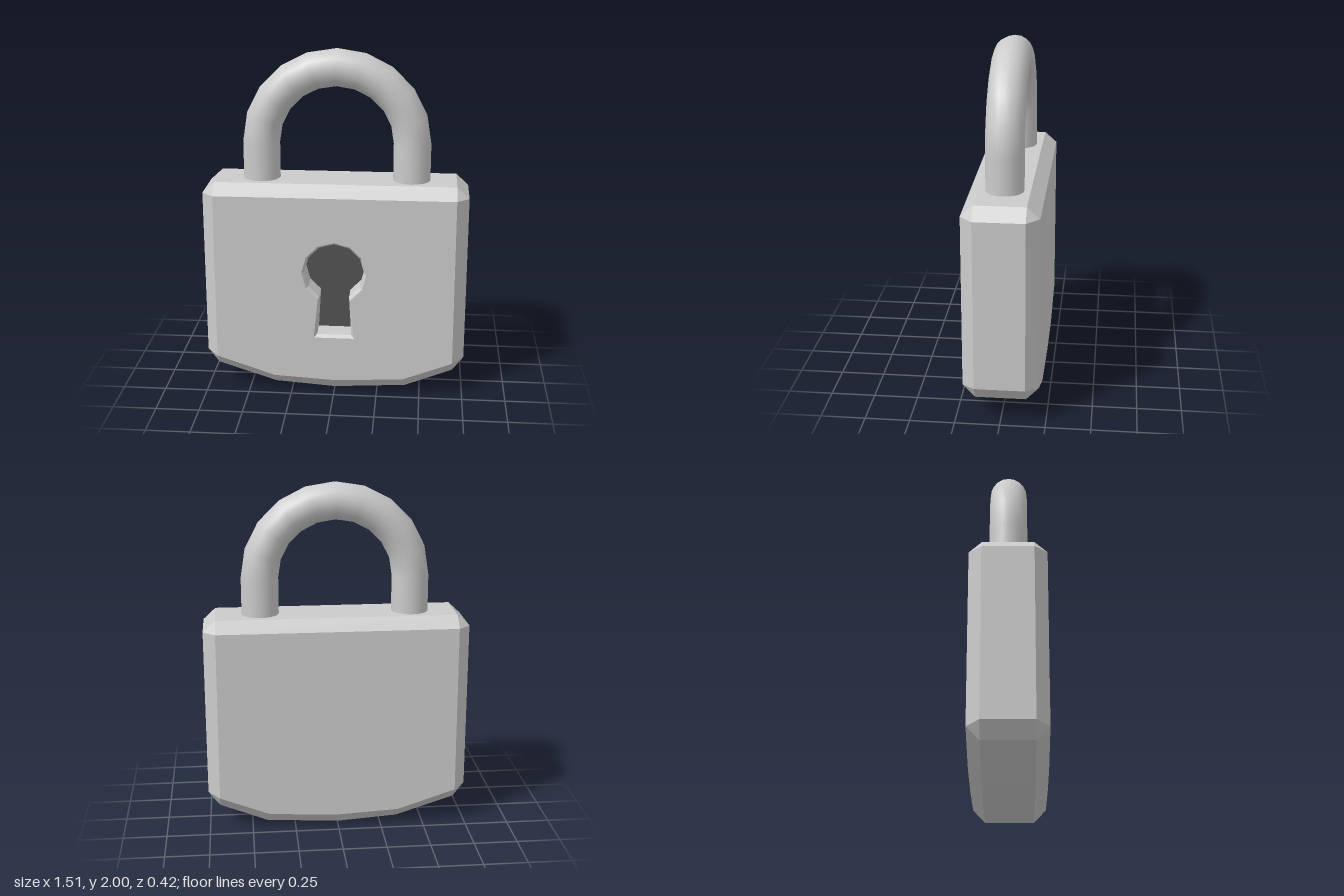
import * as THREE from 'three';
import { mergeGeometries } from 'three/addons/utils/BufferGeometryUtils.js';

const steel = new THREE.MeshStandardMaterial({ color: 0xcccccc });
const dark = new THREE.MeshStandardMaterial({ color: 0x525252 });

// Flat-shaded band between two loops of [x, y]; counter-clockwise loops with z0 < z1 face outward
function band(loopA, z0, loopB, z1) {
  const pos = [];
  loopA.forEach((a, i) => {
    const j = (i + 1) % loopA.length;
    const quad = [[...a, z0], [...loopA[j], z0], [...loopB[j], z1], [...loopB[i], z1]];
    for (const k of [0, 1, 2, 0, 2, 3]) pos.push(...quad[k]);
  });
  const geo = new THREE.BufferGeometry();
  geo.setAttribute('position', new THREE.Float32BufferAttribute(pos, 3));
  geo.computeVertexNormals();
  return geo;
}

// Flat cap facing +z, or -z when back is true
function cap(loop, z, hole, back = false) {
  const points = loop.map(([x, y]) => new THREE.Vector2(x, y))
    .filter((p, i, all) => i === 0 || !p.equals(all[i - 1]));
  const shape = new THREE.Shape(points);
  if (hole) shape.holes.push(new THREE.Path(hole.map(([x, y]) => new THREE.Vector2(x, y))));
  const geo = new THREE.ShapeGeometry(shape).toNonIndexed();
  geo.deleteAttribute('uv');
  if (back) geo.scale(-1, 1, 1).rotateY(Math.PI);
  // A mirrored and turned cap keeps its outline but needs its winding reversed
  if (back) {
    const p = geo.attributes.position;
    for (let i = 0; i < p.count; i += 3) {
      const b = [p.getX(i + 1), p.getY(i + 1)];
      p.setXY(i + 1, p.getX(i + 2), p.getY(i + 2));
      p.setXY(i + 2, ...b);
    }
  }
  geo.computeVertexNormals();
  return geo.translate(0, 0, z);
}

// Keyhole outline: 300 degree arc of a twelve-sided circle above a flared slot
function keyhole(radius, halfFoot, footY) {
  const loop = [[-halfFoot, footY], [halfFoot, footY]];
  for (let i = 0; i <= 10; i++) {
    const a = THREE.MathUtils.degToRad(-60 + i * 30);
    loop.push([radius * Math.cos(a), 0.745 + radius * Math.sin(a)]);
  }
  return loop;
}

function mesh(name, geo, material) {
  const m = new THREE.Mesh(geo, material);
  m.name = name;
  return m;
}

export function createModel() {
  const group = new THREE.Group();
  group.name = 'padlock';

  // Body: widest outline and the smaller face it chamfers to
  const rim = [[0, 0], [0.415, 0.025], [0.69, 0.135], [0.755, 0.22], [0.755, 1.19], [0.685, 1.255],
    [-0.685, 1.255], [-0.755, 1.19], [-0.755, 0.22], [-0.69, 0.135], [-0.35, 0.025]];
  const face = [[0, 0.075], [0.4, 0.095], [0.688, 0.207], [0.688, 0.207], [0.685, 1.192], [0.685, 1.192],
    [-0.685, 1.192], [-0.685, 1.192], [-0.688, 0.207], [-0.688, 0.207], [-0.35, 0.095]];
  const front = 0.21, side = 0.14, floorZ = 0.07;
  const lip = keyhole(0.186, 0.117, 0.345);
  const bore = keyhole(0.172, 0.1, 0.36);
  group.add(mesh('body', mergeGeometries([
    cap(face, front, lip),
    band(rim, side, face, front),
    band(rim, -side, rim, side),
    band(face, -front, rim, -side),
    cap(face, -front, null, true),
  ]), steel));

  // Keyhole: chamfered lip, straight walls and dark floor
  group.add(mesh('keyholeWalls', mergeGeometries([
    band(lip, front, bore, front - 0.02),
    band(bore, front - 0.02, bore, floorZ),
  ]), steel));
  group.add(mesh('keyholeFloor', cap(bore, floorZ), dark));

  // Shackle: half ring on two straight legs
  const shackle = new THREE.Group();
  shackle.name = 'shackle';
  const tube = 0.106, spread = 0.429, bendY = 1.465, legFoot = 1.24;
  const bow = mesh('shackleBow', new THREE.TorusGeometry(spread, tube, 20, 10, Math.PI), steel);
  bow.position.y = bendY;
  shackle.add(bow);
  for (const s of [-1, 1]) {
    const leg = mesh(s > 0 ? 'leftShackleLeg' : 'rightShackleLeg',
      new THREE.CylinderGeometry(tube, tube, bendY - legFoot, 20, 1, true), steel);
    leg.position.set(s * spread, (bendY + legFoot) / 2, 0);
    shackle.add(leg);
  }
  group.add(shackle);
  return group;
}
